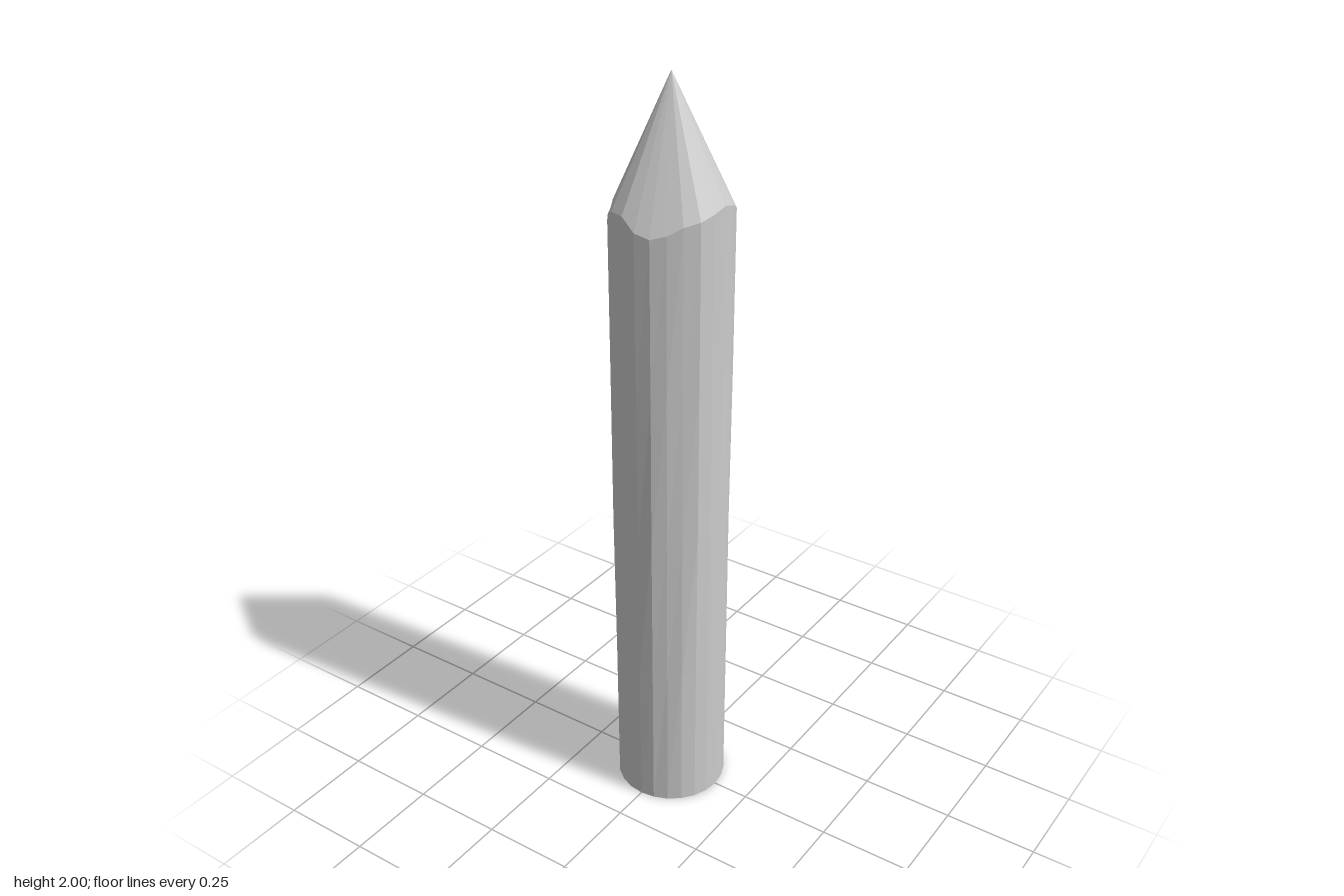
import * as THREE from 'three';

const SIDES = 24;
const HEIGHT = 2;
const BASE_RADIUS = 0.149;

// Hand-cut outline, every 15 degrees from +x towards +z
const rimRadius = [
  0.150, 0.151, 0.155, 0.149, 0.148, 0.152, 0.153, 0.150, 0.154, 0.151, 0.152, 0.147,
  0.148, 0.156, 0.152, 0.149, 0.152, 0.151, 0.155, 0.154, 0.152, 0.150, 0.153, 0.152,
];
const rimHeight = [
  1.71, 1.70, 1.69, 1.68, 1.66, 1.65, 1.66, 1.69, 1.69, 1.67, 1.64, 1.68,
  1.70, 1.66, 1.69, 1.68, 1.66, 1.68, 1.67, 1.66, 1.69, 1.65, 1.68, 1.70,
];

// Calls place(vertex, side, angle) for every vertex and flat-shades the result
function carve(geometry, place) {
  const pos = geometry.attributes.position;
  const v = new THREE.Vector3();
  for (let i = 0; i < pos.count; i++) {
    v.fromBufferAttribute(pos, i);
    const angle = Math.atan2(v.z, v.x);
    const side = (Math.round((angle / (2 * Math.PI)) * SIDES) + SIDES) % SIDES;
    place(v, side, angle);
    pos.setXYZ(i, v.x, v.y, v.z);
  }
  geometry.computeVertexNormals();
  return geometry;
}

function setPolar(v, radius, angle, y) {
  v.set(radius * Math.cos(angle), y, radius * Math.sin(angle));
}

export function createModel() {
  const group = new THREE.Group();
  group.name = 'woodenStake';
  const material = new THREE.MeshStandardMaterial({ color: 0xcccccc, flatShading: true });
  const add = (name, geometry) => {
    const mesh = new THREE.Mesh(geometry, material);
    mesh.name = name;
    group.add(mesh);
  };

  // Shaft: round at the foot, gently uneven on the way up to the ragged rim
  add('shaft', carve(new THREE.CylinderGeometry(1, 1, 1, SIDES, 4, true), (v, side, angle) => {
    const t = v.y + 0.5;
    const wobble = 0.002 * Math.sin(side * 2.4 + t * 5) * Math.sin(Math.PI * t);
    const radius = THREE.MathUtils.lerp(BASE_RADIUS, rimRadius[side], t) + wobble;
    setPolar(v, radius, angle, t * rimHeight[side]);
  }));

  // Sharpened tip: facets run from the ragged rim to a single point
  add('sharpenedTip', carve(new THREE.ConeGeometry(1, 1, SIDES, 1, true), (v, side, angle) => {
    if (v.y > 0) v.set(0, HEIGHT, 0);
    else setPolar(v, rimRadius[side], angle, rimHeight[side]);
  }));

  // Flat foot
  add('foot', new THREE.CircleGeometry(BASE_RADIUS, SIDES).rotateX(Math.PI / 2));

  return group;
}
